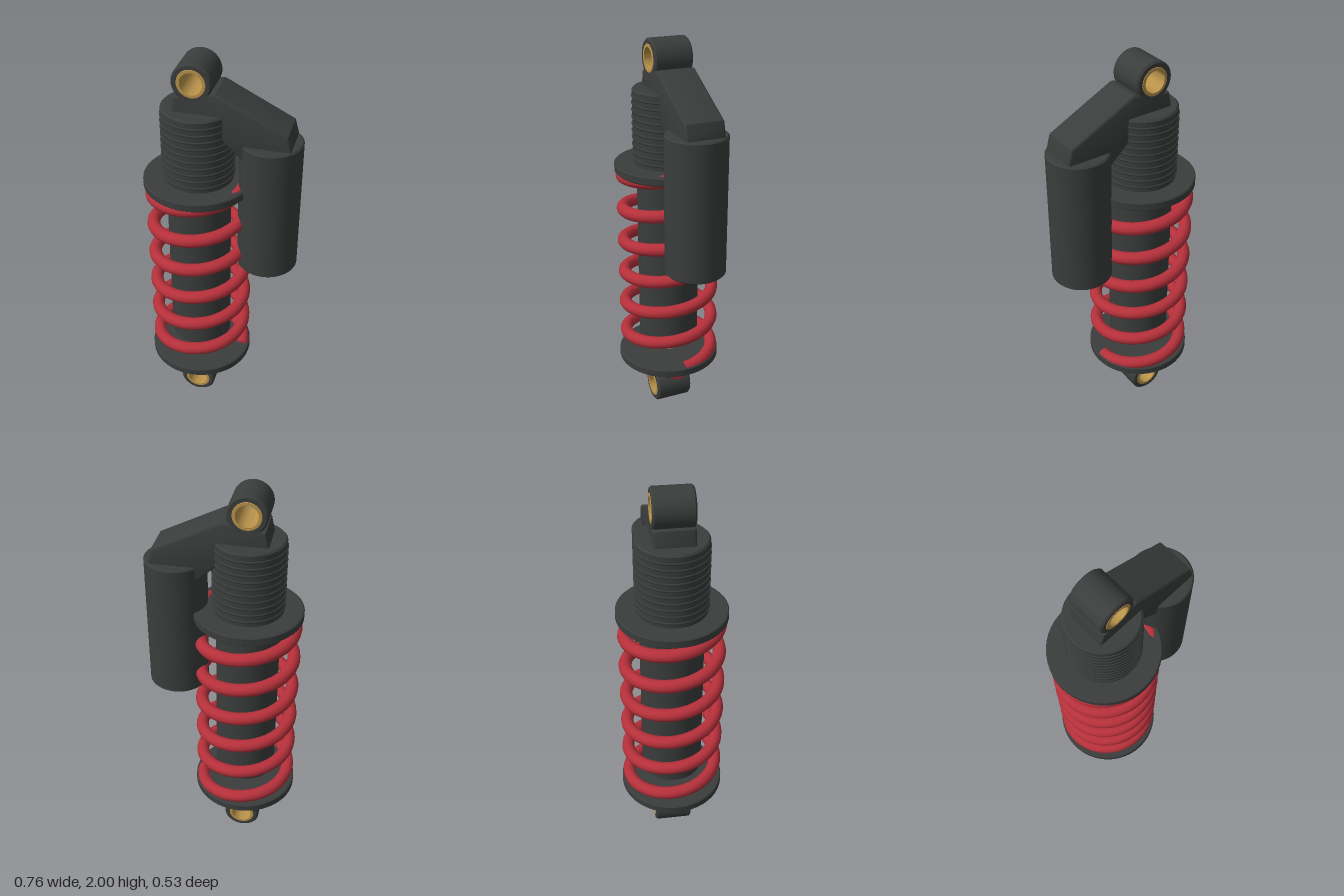
import * as THREE from 'three';
import { toCreasedNormals } from 'three/addons/utils/BufferGeometryUtils.js';

const AXIS = -0.115; // x of the damper's centre line
const paint = (color) => new THREE.MeshStandardMaterial({ color });
const dark = paint(0x3a3d3c), red = paint(0xb5303a), gold = paint(0xb8924a), steel = paint(0x92989a);

export function createModel() {
  const model = new THREE.Group();

  function add(name, geometry, material, x, y, z = 0, parent = model) {
    const mesh = new THREE.Mesh(geometry, material);
    mesh.name = name;
    mesh.position.set(x, y, z);
    parent.add(mesh);
    return mesh;
  }

  // Solid of revolution with sharp edges kept
  function turned(points, segments = 48) {
    const profile = points.map(([r, y]) => new THREE.Vector2(r, y));
    return toCreasedNormals(new THREE.LatheGeometry(profile, segments), 0.5);
  }

  // Closed cylinder from y0 to y1 with a small bevel
  const drum = (r, y0, y1, b) => turned([
    [0, y0], [r - b, y0], [r, y0 + b], [r, y1 - b], [r - b, y1], [0, y1],
  ]);

  // Hollow sleeve centred on its own axis
  const sleeve = (inner, outer, half, b) => turned([
    [inner, -half], [outer - b, -half], [outer, -half + b],
    [outer, half - b], [outer - b, half], [inner, half], [inner, -half],
  ]);

  // Damper body, threaded section and rod
  add('damperBody', drum(0.155, 0.415, 1.4, 0.004), dark, AXIS, 0);
  add('threadedBody', drum(0.17, 1.37, 1.765, 0.008), dark, AXIS, 0);
  for (let i = 0; i < 10; i++) {
    const thread = add('thread', new THREE.TorusGeometry(0.169, 0.006, 6, 48), dark, AXIS, 1.42 + i * 0.034);
    thread.rotation.x = Math.PI / 2;
  }
  add('rod', drum(0.053, 0.2, 0.5, 0.002), steel, AXIS, 0);

  // Spring seats
  add('upperSpringSeat', drum(0.265, 1.353, 1.396, 0.005), dark, AXIS, 0);
  add('lowerSpringSeat', drum(0.265, 0.288, 0.331, 0.005), dark, AXIS, 0);

  // Coil spring: six turns, starting and ending on the +x side
  const coil = new THREE.Curve();
  coil.getPoint = (t, target = new THREE.Vector3()) => {
    const a = t * 12 * Math.PI;
    return target.set(0.228 * Math.cos(a), 0.318 + 1.062 * t, -0.228 * Math.sin(a));
  };
  add('spring', new THREE.TubeGeometry(coil, 288, 0.032, 12), red, AXIS, 0);
  for (const t of [0, 1]) {
    const p = coil.getPoint(t);
    const cap = add('springEnd', new THREE.CircleGeometry(0.032, 12), red, AXIS + p.x, p.y, p.z);
    cap.rotation.y = t ? Math.PI : 0;
  }

  // Mounting eyes with bushings
  for (const [name, y] of [['lowerEye', 0.095], ['upperEye', 1.907]]) {
    const eye = new THREE.Group();
    eye.name = name;
    eye.position.set(AXIS, y, 0);
    eye.rotation.x = Math.PI / 2;
    add('eyeHousing', sleeve(0.062, 0.093, 0.095, 0.008), dark, 0, 0, 0, eye);
    add('bushing', sleeve(0.052, 0.067, 0.097, 0.002), gold, 0, 0, 0, eye);
    model.add(eye);
  }

  // Bridge from the top of the body to the reservoir
  const outline = [
    [-0.205, 1.7], [0, 1.68], [0.116, 1.573], [0.329, 1.6],
    [0.329, 1.64], [0.312, 1.7], [-0.01, 1.86], [-0.19, 1.828], [-0.205, 1.76],
  ].map(([x, y]) => new THREE.Vector2(x, y));
  const bridge = new THREE.ExtrudeGeometry(new THREE.Shape(outline), {
    depth: 0.17, bevelEnabled: true, bevelThickness: 0.01, bevelSize: 0.01, bevelSegments: 3,
  });
  add('reservoirBridge', toCreasedNormals(bridge, 0.6), dark, 0, 0, -0.085);

  // Remote reservoir
  add('reservoir', drum(0.148, 0.945, 1.633, 0.007), dark, 0.232, 0);

  // Rebound adjuster knob beside the rod
  const knob = add('adjusterKnob', new THREE.CylinderGeometry(0.05, 0.05, 0.064, 12), red, 0, 0.24);
  knob.geometry = toCreasedNormals(knob.geometry, 0.4);
  knob.rotation.z = Math.PI / 2;

  return model;
}
